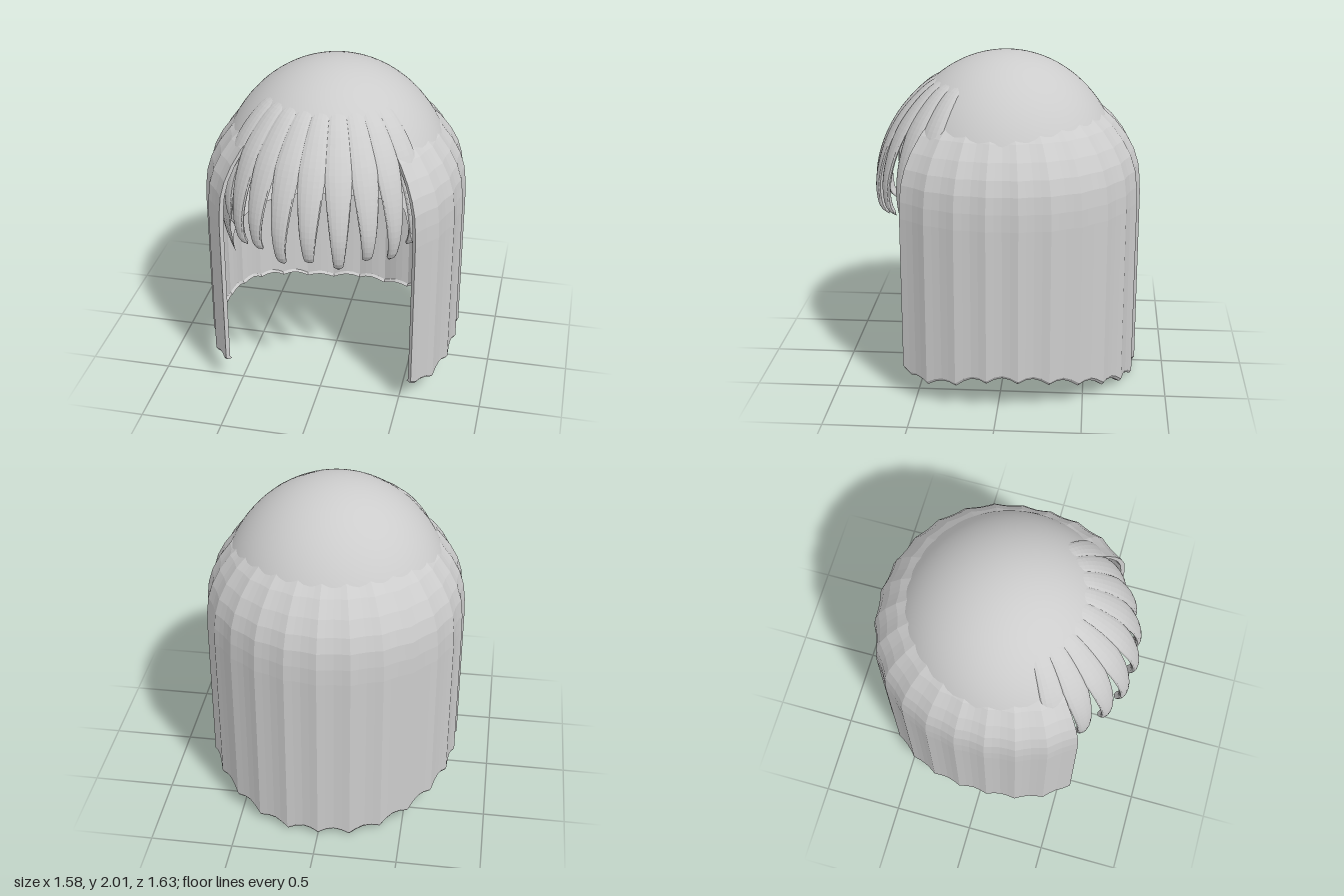
import * as THREE from 'three';
import { ParametricGeometry } from 'three/addons/geometries/ParametricGeometry.js';

const { smoothstep, lerp } = THREE.MathUtils;
const hairGrey = new THREE.MeshStandardMaterial({ color: 0xcccccc, side: THREE.DoubleSide });
hairGrey.name = 'hair grey';

function addMesh(parent, name, geometry) {
  const mesh = new THREE.Mesh(geometry, hairGrey);
  mesh.name = name;
  parent.add(mesh);
}

// Facet normals without needing a second material
function faceted(geometry) {
  const flat = geometry.toNonIndexed();
  flat.computeVertexNormals();
  return flat;
}

// Angles run around y, with 0 at the front (+z) and positive towards +x
const polar = (target, angle, r, y) => target.set(r * Math.sin(angle), y, r * Math.cos(angle));

// Smooth egg-shaped skull cap, cut away over the face
function capGeometry() {
  const radius = 0.725, height = 0.83, centre = 1.17;
  const geometry = new ParametricGeometry((u, v, p) => {
    const angle = (u * 2 - 1) * Math.PI;
    const rim = 2.03 + 0.07 * Math.cos(angle) ** 4;
    const limit = lerp(1.03, rim, smoothstep(Math.abs(angle), 0.6, 1.05));
    const phi = limit * (1 - v);
    polar(p, angle, radius * Math.sin(phi), centre + height * Math.cos(phi));
  }, 72, 36);
  const pos = geometry.attributes.position, n = new THREE.Vector3();
  for (let i = 0; i < pos.count; i++) {
    n.fromBufferAttribute(pos, i);
    n.set(n.x / radius ** 2, (n.y - centre) / height ** 2, n.z / radius ** 2).normalize();
    geometry.attributes.normal.setXYZ(i, n.x, n.y, n.z);
  }
  return geometry;
}

// Long pleated curtain around the sides and back, with a wavy hem
function curtainGeometry() {
  const pleats = 20, perPleat = 4, steps = pleats * perPleat + 2;
  const halfSweep = Math.PI * 0.75;
  // [share of full radius, height]; the first entry is replaced by the hem
  const outer = [[0.985, 0], [1, 0.03], [1, 1.12], [0.995, 1.22], [0.98, 1.32],
    [0.945, 1.41], [0.885, 1.5], [0.8, 1.59], [0.69, 1.67]];
  const loop = [...outer.map(([r, y]) => [r, y, 0]),
    ...outer.slice().reverse().map(([r, y]) => [r, y, 0.028]), [...outer[0], 0]];
  const hemCurve = new THREE.CatmullRomCurve3([[0, 0.015], [0.17, 0.015], [0.26, 0.08],
    [0.36, 0.15], [0.52, 0.19], [0.68, 0.19], [0.85, 0.14], [1, 0.12]]
    .map(([x, y]) => new THREE.Vector3(x, y, 0)));
  const rows = loop.length - 1;
  return faceted(new ParametricGeometry((u, v, p) => {
    const i = Math.round(u * steps);
    const s = THREE.MathUtils.clamp((i - 1) / (steps - 2), 0, 1) * 2 - 1;
    const back = s * halfSweep;                       // angle from the back
    const [share, level, inset] = loop[Math.round(v * rows)];
    const wave = Math.abs(Math.sin(back / (2 * halfSweep) * pleats * Math.PI));
    const corner = 0.06 * smoothstep(Math.abs(s), 0.97, 1);
    const hem = hemCurve.getPoint(Math.abs(s)).y + (wave - 0.5) * 0.03 + corner;
    const y = level < 0.1 ? hem + level * 0.6 : level;
    const full = 0.825 - 0.035 * Math.sin(back) ** 8 - 0.014 * wave;
    // The two end columns collapse to close the front edges
    const depth = i === 0 || i === steps ? 0.014 : inset;
    polar(p, back + Math.PI, full * share - depth, y);
  }, steps, rows));
}

// One tapering lock of the fringe, sweeping forward and down
const fringePath = new THREE.CatmullRomCurve3([[0.36, 1.875], [0.48, 1.81], [0.6, 1.695],
  [0.7, 1.555], [0.775, 1.38], [0.805, 1.22], [0.79, 1.1], [0.752, 1.045]]
  .map(([r, y]) => new THREE.Vector3(r, y, 0)));

function lockGeometry(angle, extra) {
  return faceted(new ParametricGeometry((u, v, p) => {
    const t = Math.min(v, 1);
    const point = fringePath.getPointAt(Math.max(t, 0));
    const taper = lerp(0.122, 0.042, THREE.MathUtils.clamp((t - 0.42) / 0.5, 0, 1));
    const tip = t > 0.93 ? Math.sqrt(Math.max(0, 1 - ((t - 0.93) / 0.07) ** 2)) : 1;
    const a = u * Math.PI * 2;
    const r = point.x * (1 - 0.14 * angle * angle * t);
    polar(p, angle + taper * tip * Math.cos(a),
      r - 0.02 + 0.022 * tip * Math.sin(a), point.y - extra * t ** 4);
  }, 14, 28));
}

export function createModel() {
  const model = new THREE.Group();
  model.name = 'bob haircut';
  addMesh(model, 'cap', capGeometry());
  addMesh(model, 'curtain', curtainGeometry());

  const fringe = new THREE.Group();
  fringe.name = 'fringe';
  for (let i = -4; i <= 4; i++) {
    addMesh(fringe, 'fringeLock', lockGeometry(i * 0.222, i % 2 ? 0.04 : 0));
  }
  model.add(fringe);
  return model;
}
